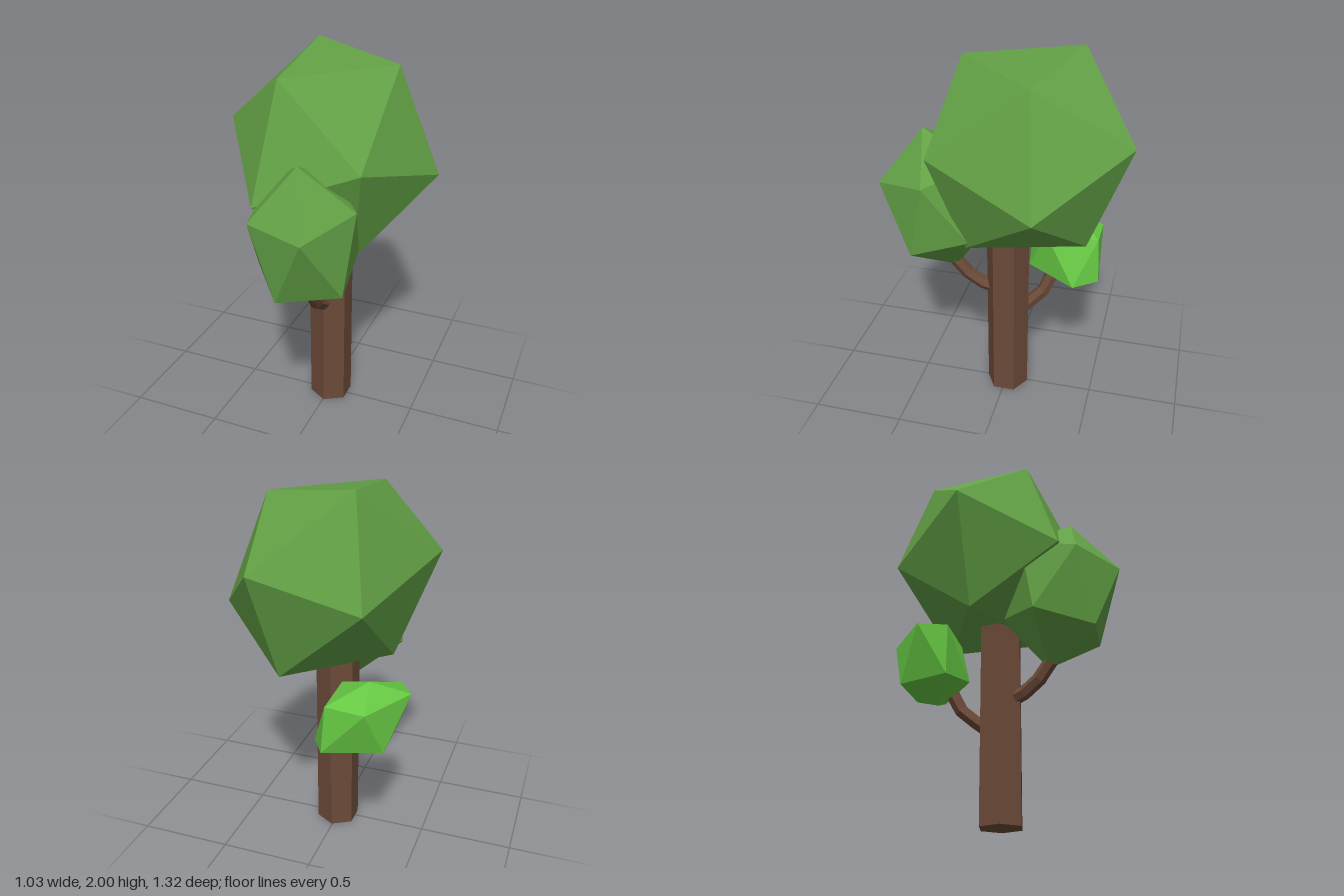
import * as THREE from 'three';
import { ConvexGeometry } from 'three/addons/geometries/ConvexGeometry.js';

const material = (color) => {
  const m = new THREE.MeshStandardMaterial({ color, flatShading: true });
  return m;
};

// Twelve-cornered leaf clump: six corners, each mirrored through the centre
function clump(name, center, corners, mat) {
  const points = [];
  for (const c of corners) {
    const v = new THREE.Vector3(...c).sub(new THREE.Vector3(...center));
    points.push(v, v.clone().negate());
  }
  const mesh = new THREE.Mesh(new ConvexGeometry(points), mat);
  mesh.name = name;
  mesh.position.set(...center);
  return mesh;
}

// Bent six-sided limb that ends inside a clump
function branch(name, path, mat) {
  const curve = new THREE.CatmullRomCurve3(path.map((p) => new THREE.Vector3(...p)));
  const mesh = new THREE.Mesh(new THREE.TubeGeometry(curve, 4, 0.037, 6, false), mat);
  mesh.name = name;
  return mesh;
}

export function createModel() {
  const tree = new THREE.Group();
  tree.name = 'tree';
  const bark = material(0x6b4a38);
  const leaf = material(0x62a045);
  const lightLeaf = material(0x66c843);

  // Six-sided trunk with a corner facing the front
  const trunk = new THREE.Mesh(new THREE.CylinderGeometry(0.118, 0.118, 1.15, 6), bark);
  trunk.name = 'trunk';
  trunk.position.set(0.005, 0.575, -0.008);
  tree.add(trunk);

  // Limbs
  tree.add(
    branch('frontBranch', [[0.0, 0.64, 0.04], [0.005, 0.665, 0.12], [0.01, 0.71, 0.2], [0.02, 0.82, 0.29], [0.02, 0.9, 0.33]], bark),
    branch('backBranch', [[-0.02, 0.49, -0.06], [-0.055, 0.55, -0.13], [-0.09, 0.62, -0.2], [-0.115, 0.71, -0.235], [-0.14, 0.78, -0.25]], bark),
  );

  // Foliage
  tree.add(
    clump('mainCrown', [0, 1.503, -0.09], [
      [-0.2, 2.0, -0.35], [0.3, 1.93, -0.18], [-0.155, 1.925, 0.27],
      [-0.515, 1.645, 0.06], [0.29, 1.53, 0.34], [-0.21, 1.35, 0.48],
    ], leaf),
    clump('frontCrown', [0.015, 1.178, 0.36], [
      [0.015, 1.58, 0.44], [0.12, 1.29, 0.66], [-0.19, 1.31, 0.57],
      [0.285, 1.36, 0.37], [-0.05, 0.92, 0.585], [0.25, 0.945, 0.46],
    ], leaf),
    clump('backCrown', [-0.225, 0.843, -0.29], [
      [-0.267, 1.06, -0.31], [-0.455, 0.974, -0.21], [-0.373, 0.963, -0.08],
      [-0.365, 0.71, -0.38], [-0.357, 0.71, -0.095], [-0.295, 0.96, -0.485],
    ], lightLeaf),
  );
  return tree;
}
